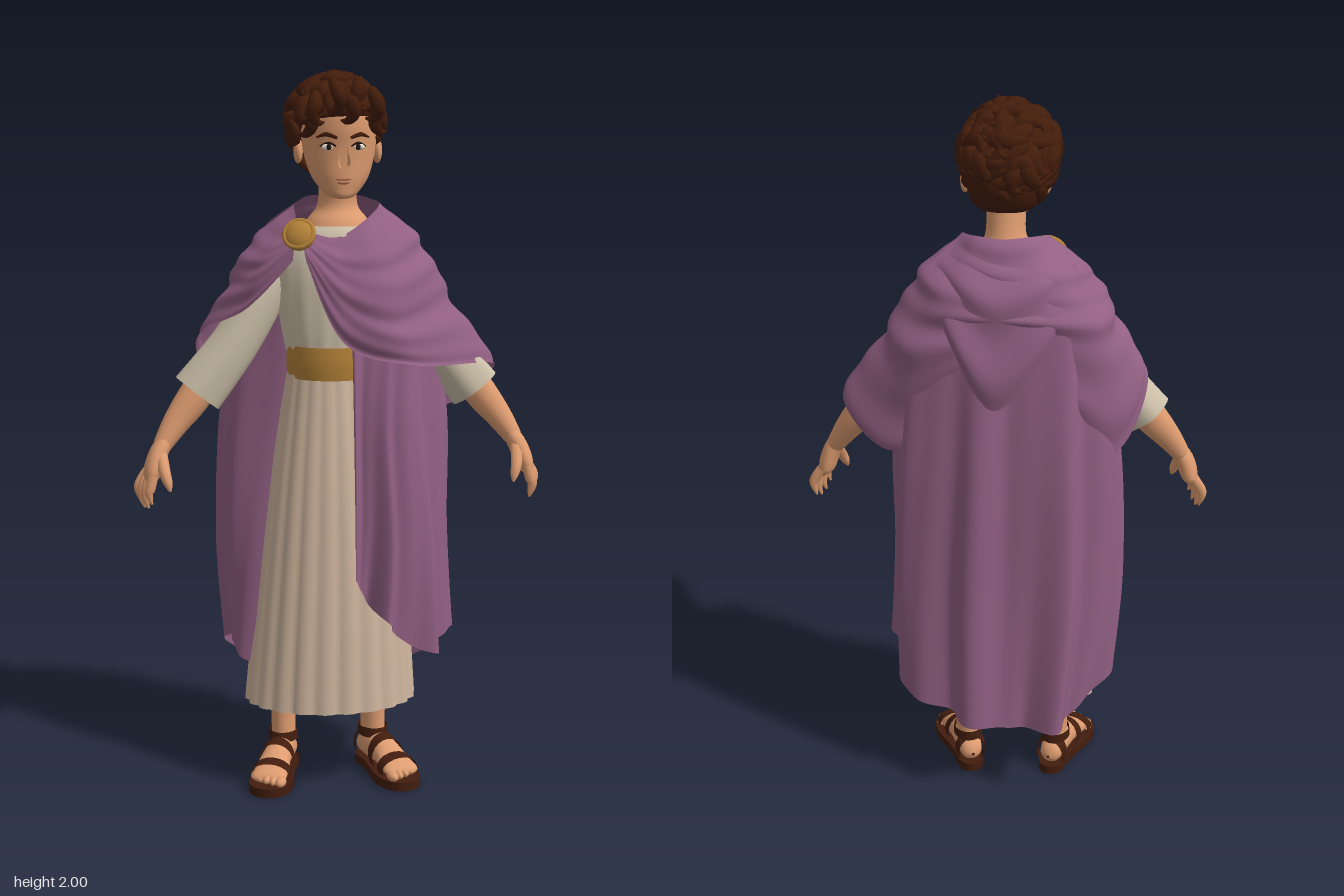
import * as THREE from 'three';
import { mergeVertices, mergeGeometries } from 'three/addons/utils/BufferGeometryUtils.js';

const { sin, cos, PI, max, min, floor, sqrt, abs } = Math;
const V = (x, y, z) => new THREE.Vector3(x, y, z);
const UP = V(0, 1, 0), FWD = V(0, 0, 1);

// smooth interpolation through a list of number arrays
function cat(k, t) {
  const n = k.length - 1, f = min(max(t, 0) * n, n - 1e-9), i = floor(f), w = f - i;
  const a = k[max(i - 1, 0)], b = k[i], c = k[i + 1], d = k[min(i + 2, n)];
  return b.map((q, j) => 0.5 * (2 * q + (c[j] - a[j]) * w + (2 * a[j] - 5 * q + 4 * c[j] - d[j]) * w * w
    + (3 * q - a[j] - 3 * c[j] + d[j]) * w * w * w));
}

// surface over a u,v grid
function grid(nu, nv, f) {
  const pos = [], idx = [];
  for (let j = 0; j <= nv; j++) for (let i = 0; i <= nu; i++) pos.push(...f(i / nu, j / nv));
  for (let j = 0; j < nv; j++) for (let i = 0; i < nu; i++) {
    const a = j * (nu + 1) + i, c = a + nu + 1;
    idx.push(a, a + 1, c, a + 1, c + 1, c);
  }
  let g = new THREE.BufferGeometry();
  g.setAttribute('position', new THREE.Float32BufferAttribute(pos, 3));
  g.setIndex(idx);
  g = mergeVertices(g, 1e-5);
  g.computeVertexNormals();
  return g;
}

// tube through sections [x, y, z, halfWidth, halfDepth]
function tube(sec, { dir, ref = FWD, sides = 14, steps = 4, shape = () => 1 } = {}) {
  const at = t => V(...cat(sec, t).slice(0, 3));
  return grid(sides, (sec.length - 1) * steps, (u, t) => {
    const [x, y, z, ra, rb] = cat(sec, t), th = u * 2 * PI + PI;
    const T = dir || at(min(t + 0.02, 1)).sub(at(max(t - 0.02, 0))).normalize();
    const N = T.clone().cross(ref).normalize(), B = N.clone().cross(T), m = shape(th, t);
    return V(x, y, z).addScaledVector(N, sin(th) * max(ra, 0) * m)
      .addScaledVector(B, cos(th) * max(rb, 0) * m).toArray();
  });
}

// cloth through rows of points listed from top to bottom, pushed outward by fold(u, v)
function drape(rows, nu, nv, fold) {
  return grid(nu, nv, (u, w) => {
    const v = 1 - w, p = cat(rows.map(r => cat(r, u)), v);
    const l = sqrt(p[0] * p[0] + p[2] * p[2]) + 1e-6, f = fold(u, v);
    return [p[0] + p[0] / l * f, p[1], p[2] + p[2] / l * f];
  });
}

function mat(name, color, open) {
  const m = new THREE.MeshStandardMaterial({ color });
  m.name = name;
  if (open) m.side = THREE.DoubleSide;
  return m;
}

export function createModel() {
  const M = {
    cloak: mat('plum cloth', 0x926083, true), tunic: mat('cream cloth', 0xcdc0a9, true),
    skirt: mat('tan cloth', 0xcfb69f, true), skin: mat('skin', 0xde9c70), hair: mat('brown hair', 0x441d0b),
    leather: mat('dark leather', 0x421d0e, true), gold: mat('gold', 0xb58238), white: mat('eye white', 0xe6ddd0),
    dark: mat('dark brown', 0x24140d), lip: mat('lip', 0xb87455),
  };
  const model = new THREE.Group();
  const add = (name, geo, m, parent = model, pos) => {
    const mesh = new THREE.Mesh(geo, m);
    mesh.name = name;
    if (pos) mesh.position.set(...pos);
    parent.add(mesh);
    return mesh;
  };
  const ball = (name, m, parent, pos, s) => add(name, new THREE.SphereGeometry(1, 18, 12), m, parent, pos).scale.set(...s);

  // tunic: bodice and pleated skirt
  add('bodice', tube([[-0.015, 1.18, 0.01, 0.125, 0.12], [-0.015, 1.3, 0.01, 0.145, 0.13], [0, 1.44, 0, 0.18, 0.14],
    [0, 1.52, 0, 0.175, 0.125], [0, 1.565, 0.01, 0.125, 0.103], [0, 1.588, 0.01, 0.097, 0.088]],
  { dir: UP, sides: 72, shape: (a, t) => 1 + 0.014 * sin(a * 18) * (1 - t) }), M.tunic);
  add('skirt', tube([[-0.022, 0.245, 0.025, 0.24, 0.174], [-0.018, 0.55, 0.025, 0.215, 0.165], [-0.018, 0.9, 0.02, 0.175, 0.147],
    [-0.02, 1.2, 0.012, 0.128, 0.122]],
  { dir: UP, sides: 144, shape: (a, t) => 1 + 0.05 * (1 - 0.6 * t) * (abs(sin(a * 11)) - 0.6) }), M.skirt);
  add('belt', tube([[-0.018, 1.175, 0.012, 0.13, 0.132], [-0.018, 1.22, 0.012, 0.133, 0.136], [-0.018, 1.265, 0.012, 0.132, 0.134]],
    { dir: UP, sides: 40 }), M.gold);

  // cloak: long hanging cloth, from the front edge round the back to the other side
  const hang = [
    [[0.02, 1.33, 0.155], [0.12, 1.34, 0.15], [0.2, 1.35, 0.11], [0.26, 1.38, 0], [0.2, 1.44, -0.13], [0, 1.46, -0.165],
      [-0.2, 1.44, -0.135], [-0.26, 1.4, -0.05], [-0.15, 1.42, 0.05]],
    [[0.02, 1.06, 0.185], [0.1, 1.06, 0.195], [0.2, 1.06, 0.15], [0.308, 1.06, -0.01], [0.22, 1.06, -0.155], [0, 1.06, -0.19],
      [-0.22, 1.06, -0.165], [-0.315, 1.06, -0.05], [-0.15, 1.06, 0.06]],
    [[0.02, 0.82, 0.2], [0.11, 0.75, 0.22], [0.23, 0.7, 0.16], [0.305, 0.74, 0], [0.245, 0.65, -0.155], [0, 0.64, -0.205],
      [-0.23, 0.65, -0.18], [-0.325, 0.7, -0.04], [-0.195, 0.72, 0.07]],
    [[0.02, 0.64, 0.205], [0.1, 0.52, 0.225], [0.24, 0.4, 0.15], [0.315, 0.43, 0], [0.24, 0.29, -0.155], [0, 0.24, -0.222],
      [-0.2, 0.26, -0.195], [-0.305, 0.42, -0.05], [-0.235, 0.34, 0.05]],
  ];
  add('cloakDrape', drape(hang, 220, 28, (u, v) => (0.007 + 0.017 * v) * (sin(u * 54 + 1) + 0.4 * sin(u * 97 + 2 * v))), M.cloak);

  // cloak: mantle round the shoulders, gathered at the clasp and sinking into the drape behind
  const mantle = [
    [[-0.11, 1.585, 0.105], [-0.02, 1.56, 0.115], [0.06, 1.6, 0.09], [0.115, 1.645, 0.02], [0.07, 1.655, -0.06], [0, 1.655, -0.085],
      [-0.07, 1.655, -0.06], [-0.115, 1.645, 0], [-0.12, 1.62, 0.06], [-0.12, 1.585, 0.105]],
    [[-0.11, 1.56, 0.12], [0, 1.48, 0.16], [0.13, 1.48, 0.15], [0.235, 1.54, 0], [0.16, 1.54, -0.125], [0, 1.53, -0.155],
      [-0.16, 1.54, -0.125], [-0.24, 1.54, 0], [-0.2, 1.53, 0.09], [-0.125, 1.56, 0.12]],
    [[-0.105, 1.53, 0.135], [0, 1.38, 0.18], [0.15, 1.33, 0.185], [0.318, 1.385, 0.01], [0.25, 1.36, -0.135], [0, 1.42, -0.168],
      [-0.25, 1.38, -0.135], [-0.305, 1.42, -0.01], [-0.235, 1.45, 0.1], [-0.13, 1.54, 0.13]],
    [[-0.1, 1.5, 0.14], [0, 1.28, 0.18], [0.2, 1.22, 0.185], [0.46, 1.19, 0], [0.29, 1.06, -0.11], [0, 1.3, -0.14],
      [-0.28, 1.06, -0.12], [-0.395, 1.265, -0.03], [-0.255, 1.37, 0.09], [-0.135, 1.5, 0.13]],
  ];
  add('cloakMantle', drape(mantle, 120, 40, (u, v) =>
    sin(PI * u) * min(1, 4 * v) * (0.008 * sin(v * 21 + 4 * sin(u * 7)) + 0.005 * sin(v * 40 - u * 12))), M.cloak);
  const cowl = [
    [[0.112, 1.648, 0], [0.07, 1.662, -0.065], [0, 1.662, -0.09], [-0.07, 1.662, -0.065], [-0.112, 1.648, 0]],
    [[0.18, 1.595, -0.05], [0.11, 1.55, -0.145], [0.01, 1.5, -0.175], [-0.11, 1.55, -0.145], [-0.18, 1.595, -0.05]],
    [[0.195, 1.56, -0.08], [0.14, 1.4, -0.175], [0.02, 1.22, -0.2], [-0.13, 1.4, -0.175], [-0.195, 1.56, -0.08]],
  ];
  add('cloakCowl', drape(cowl, 40, 24, (u, v) => sin(PI * u) * 0.009 * sin(v * 17)), M.cloak);

  // shoulder clasp
  const clasp = new THREE.Group();
  clasp.name = 'clasp';
  clasp.position.set(-0.115, 1.568, 0.118);
  clasp.rotation.set(-0.5, -0.3, 0);
  model.add(clasp);
  ball('claspDisc', M.gold, clasp, [0, 0, 0], [0.044, 0.044, 0.024]);
  add('claspRim', new THREE.TorusGeometry(0.039, 0.007, 8, 28), M.gold, clasp, [0, 0, 0.008]);

  for (const s of [-1, 1]) {
    const side = s < 0 ? 'right' : 'left';
    const mir = a => a.map(([x, ...r]) => [s * x, ...r]);
    const limb = (name, sec, opt, m = M.skin) => add(side + name, tube(mir(sec), opt), m);

    // arm
    limb('Sleeve', [[0.13, 1.47, -0.01, 0.05, 0.06], [0.2, 1.39, 0, 0.06, 0.068], [0.29, 1.255, 0.015, 0.066, 0.066],
      [0.388, 1.13, 0.025, 0.073, 0.064]], { sides: 24, shape: (a, t) => 1 + 0.04 * t * sin(a * 5) }, M.tunic);
    limb('Forearm', [[0.33, 1.22, 0.02, 0.045, 0.045], [0.4, 1.12, 0.035, 0.046, 0.044], [0.45, 1.055, 0.052, 0.037, 0.036],
      [0.49, 0.995, 0.07, 0.026, 0.029]]);
    limb('Palm', [[0.478, 1.015, 0.068, 0.022, 0.024], [0.503, 0.97, 0.08, 0.026, 0.04], [0.52, 0.92, 0.09, 0.024, 0.048],
      [0.53, 0.895, 0.092, 0.006, 0.03]]);
    for (let i = 0; i < 4; i++) {
      const z = 0.05 + i * 0.027, x = -0.009 * i, d = [0.012, 0, 0.004, 0.02][i];
      limb('Finger' + (i + 1), [[0.53 + x / 2, 0.925, z, 0.014, 0.013], [0.552 + x, 0.89, z + 0.003, 0.014, 0.013],
        [0.556 + x, 0.855 + d, z + 0.004, 0.011, 0.011], [0.548 + x, 0.826 + d, z + 0.004, 0.003, 0.003]], { sides: 8, steps: 3 });
    }
    limb('Thumb', [[0.493, 0.975, 0.1, 0.017, 0.015], [0.486, 0.935, 0.135, 0.016, 0.015], [0.477, 0.905, 0.15, 0.012, 0.012],
      [0.472, 0.885, 0.157, 0.003, 0.003]], { sides: 8 });

    // leg, foot and sandal, turned outward
    const foot = new THREE.Group();
    foot.name = side + 'Foot';
    foot.position.set(s < 0 ? -0.178 : 0.137, 0, 0.042);
    foot.rotation.y = s * 0.34;
    model.add(foot);
    const part = (name, sec, dir, m, ref) => add(name, tube(mir(sec), { dir, ref, sides: 20 }), m, foot);
    part('leg', [[0, 0.06, -0.08, 0.034, 0.04], [0, 0.13, -0.08, 0.034, 0.04], [0, 0.22, -0.08, 0.037, 0.043],
      [0, 0.38, -0.075, 0.05, 0.055], [0, 0.6, -0.06, 0.06, 0.06]], UP, M.skin);
    part('footBody', [[0, 0.055, -0.137, 0.005, 0.005], [0, 0.06, -0.122, 0.03, 0.03], [0, 0.07, -0.07, 0.037, 0.045],
      [0, 0.07, -0.01, 0.04, 0.042], [0, 0.053, 0.06, 0.048, 0.027], [0, 0.044, 0.105, 0.048, 0.015],
      [0, 0.04, 0.115, 0.02, 0.004]], FWD, M.skin, UP);
    for (let i = 0; i < 5; i++)
      ball('toe' + (i + 1), M.skin, foot, [s * (i * 0.021 - 0.04), 0.042, 0.117 - i * i * 0.0022],
        i ? [0.011, 0.012, 0.02] : [0.015, 0.014, 0.024]);
    const sole = new THREE.Shape();
    sole.moveTo(-0.038, 0.1);
    sole.bezierCurveTo(-0.04, 0.165, 0.04, 0.165, 0.038, 0.1);
    sole.bezierCurveTo(0.035, 0.02, 0.065, -0.02, 0.061, -0.08);
    sole.bezierCurveTo(0.055, -0.17, -0.055, -0.17, -0.061, -0.08);
    sole.bezierCurveTo(-0.065, -0.02, -0.035, 0.02, -0.038, 0.1);
    add('sole', new THREE.ExtrudeGeometry(sole, { depth: 0.026, bevelEnabled: false, curveSegments: 10 })
      .rotateX(-PI / 2), M.leather, foot, [0, 0.002, 0]);
    part('toeStrap', [[0, 0.048, 0.05, 0.055, 0.037], [0, 0.046, 0.085, 0.056, 0.032]], FWD, M.leather, UP);
    part('instepStrap', [[0, 0.065, -0.02, 0.047, 0.055], [0, 0.06, 0.012, 0.05, 0.05]], FWD, M.leather, UP);
    part('ankleStrap', [[0, 0.1, -0.078, 0.042, 0.052], [0, 0.128, -0.08, 0.041, 0.048]], UP, M.leather);
    part('heelStrap', [[0, 0.06, -0.125, 0.04, 0.045], [0, 0.065, -0.1, 0.046, 0.055]], FWD, M.leather, UP);
  }

  // neck and head
  add('neck', tube([[0, 1.55, 0.012, 0.11, 0.097], [0, 1.6, 0.014, 0.085, 0.08], [0, 1.64, 0.015, 0.056, 0.056],
    [0, 1.7, 0.025, 0.052, 0.052], [0, 1.76, 0.03, 0.05, 0.05]], { dir: UP, sides: 24 }), M.skin);
  const head = new THREE.Group();
  head.name = 'head';
  model.add(head);
  add('face', tube([[0, 1.662, 0.105, 0.004, 0.004], [0, 1.668, 0.1, 0.032, 0.036], [0, 1.69, 0.085, 0.056, 0.056],
    [0, 1.72, 0.068, 0.077, 0.076], [0, 1.76, 0.055, 0.091, 0.09], [0, 1.8, 0.045, 0.099, 0.103], [0, 1.85, 0.04, 0.102, 0.115],
    [0, 1.9, 0.035, 0.1, 0.115], [0, 1.94, 0.03, 0.08, 0.09], [0, 1.965, 0.03, 0.003, 0.003]], { dir: UP, sides: 32 }), M.skin, head);
  add('nose', tube([[0, 1.825, 0.143, 0.008, 0.008], [0, 1.79, 0.15, 0.01, 0.012], [0, 1.762, 0.157, 0.017, 0.016],
    [0, 1.748, 0.15, 0.012, 0.008], [0, 1.743, 0.145, 0.002, 0.002]], { dir: UP }), M.skin, head);
  ball('upperLip', M.lip, head, [0, 1.716, 0.143], [0.022, 0.004, 0.005]);
  ball('lowerLip', M.lip, head, [0, 1.707, 0.142], [0.017, 0.005, 0.005]);
  for (const s of [-1, 1]) {
    ball('eye', M.white, head, [s * 0.04, 1.8, 0.138], [0.018, 0.009, 0.007]);
    ball('iris', M.dark, head, [s * 0.039, 1.8, 0.143], [0.007, 0.008, 0.004]);
    add('lid', tube([[s * 0.02, 1.802, 0.146, 0.002, 0.002], [s * 0.04, 1.811, 0.143, 0.003, 0.003],
      [s * 0.061, 1.802, 0.128, 0.002, 0.002]], { ref: UP, sides: 6 }), M.dark, head);
    add('brow', tube([[s * 0.017, 1.824, 0.149, 0.003, 0.005], [s * 0.045, 1.833, 0.142, 0.004, 0.006],
      [s * 0.07, 1.825, 0.124, 0.002, 0.002]], { ref: UP, sides: 6 }), M.hair, head);
    ball('ear', M.skin, head, [s * 0.108, 1.787, 0.025], [0.013, 0.034, 0.022]);
  }

  // hair: a cap covered in tousled curling locks
  add('hairCap', tube([[0, 1.72, -0.015, 0.06, 0.035], [0, 1.74, -0.022, 0.085, 0.06], [0, 1.79, -0.024, 0.102, 0.08],
    [0, 1.84, 0, 0.11, 0.105], [-0.005, 1.885, 0.032, 0.113, 0.128], [-0.01, 1.92, 0.036, 0.108, 0.126],
    [-0.01, 1.96, 0.033, 0.075, 0.085], [-0.01, 1.975, 0.033, 0.003, 0.003]], { dir: UP, sides: 28 }), M.hair, head);
  let seed = 7;
  const rnd = () => (seed = (seed * 16807) % 2147483647) / 2147483647;
  const locks = [], count = 180;
  for (let i = 0; i < count; i++) {
    const y = 1 - 2 * (i + 0.5) / count, r = sqrt(1 - y * y), a = i * 2.39996, out = rnd() * 0.014;
    const n = V(r * cos(a), y, r * sin(a));
    const p = V(-0.01 + n.x * 0.107, 1.855 + n.y * 0.111, 0.036 + n.z * 0.133).addScaledVector(n, out);
    if (p.y < (p.z > 0.07 ? 1.9 : p.z > 0 ? 1.815 : 1.745)) continue;
    const flow = V(0.15, -1, 0.25), down = flow.addScaledVector(n, -flow.dot(n)).normalize();
    const across = n.clone().cross(down), turn = (rnd() - 0.5) * 3.4, k = rnd() < 0.5 ? -1 : 1, q = 0.85 + 0.45 * rnd();
    const d = down.clone().multiplyScalar(cos(turn)).addScaledVector(across, sin(turn)), e = n.clone().cross(d).multiplyScalar(k);
    const at = (f, g, h, w) => [...p.clone().addScaledVector(d, f * q).addScaledVector(e, g * q).addScaledVector(n, h).toArray(), w * q, w * q * 0.8];
    locks.push(tube([at(-0.03, 0, -0.008, 0.008), at(-0.008, -0.008, 0.006, 0.02), at(0.018, -0.002, 0.008, 0.018),
      at(0.032, 0.014, 0.008, 0.011), at(0.026, 0.03, 0.014, 0.002)], { ref: n, sides: 7, steps: 2 }));
  }
  // loose locks over the forehead, parted to one side
  for (const [x, y, k] of [[-0.1, 1.865, 1], [-0.07, 1.895, -1], [-0.03, 1.925, 1], [0.005, 1.9, 1], [0.04, 1.93, -1], [0.075, 1.905, 1], [0.1, 1.87, -1]]) {
    const z = 0.18 - 6 * x * x;
    locks.push(tube([[x, y + 0.045, z - 0.02, 0.012, 0.01], [x + 0.008 * k, y + 0.018, z + 0.018, 0.02, 0.02],
      [x + 0.016 * k, y - 0.012, z + 0.018, 0.017, 0.016], [x, y - 0.032, z + 0.006, 0.011, 0.01],
      [x - 0.018 * k, y - 0.03, z, 0.002, 0.002]], { sides: 8, steps: 3 }));
  }
  add('hairLocks', mergeGeometries(locks), M.hair, head);
  return model;
}
